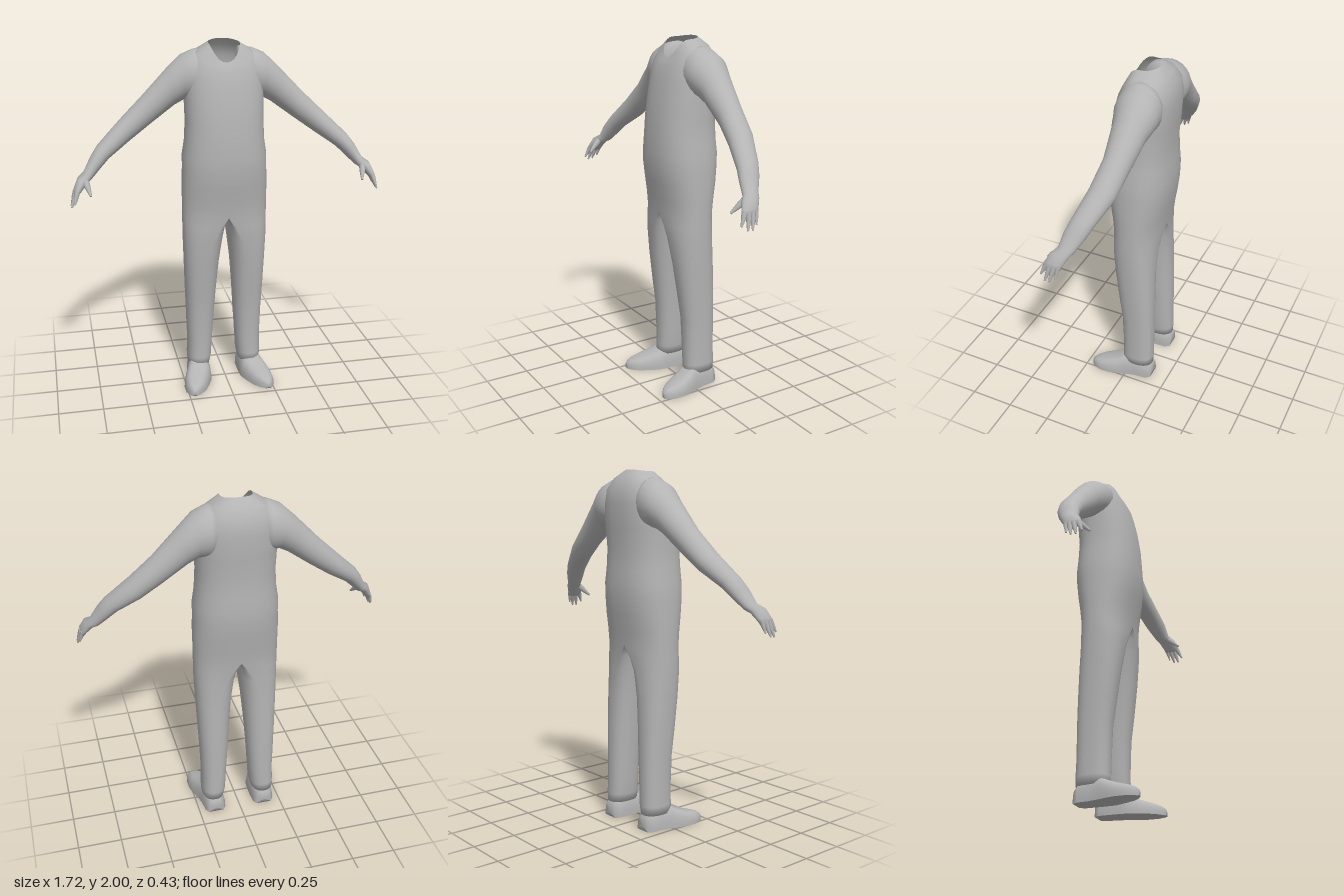
import * as THREE from 'three';
import { mergeGeometries, mergeVertices } from 'three/addons/utils/BufferGeometryUtils.js';

const N = 32;
const V = (x, y, z) => new THREE.Vector3(x, y, z);
const pw = (v, e) => Math.sign(v) * Math.pow(Math.abs(v) < 1e-9 ? 0 : Math.abs(v), e);

// Skin a list of closed rings; optional fan caps at both ends
function loft(rings, cap0 = false, cap1 = false) {
  const n = rings[0].length, pos = [], idx = [];
  rings.forEach(r => r.forEach(p => pos.push(p.x, p.y, p.z)));
  for (let i = 0; i < rings.length - 1; i++) {
    for (let j = 0; j < n; j++) {
      const a = i * n + j, b = i * n + (j + 1) % n, c = a + n, d = b + n;
      idx.push(a, c, b, b, c, d);
    }
  }
  const cap = (i, flip) => {
    const m = V(0, 0, 0);
    rings[i].forEach(p => m.addScaledVector(p, 1 / n));
    const k = pos.length / 3;
    pos.push(m.x, m.y, m.z);
    for (let j = 0; j < n; j++) {
      const a = i * n + j, b = i * n + (j + 1) % n;
      if (flip) idx.push(k, b, a); else idx.push(k, a, b);
    }
  };
  if (cap0) cap(0, false);
  if (cap1) cap(rings.length - 1, true);
  const g = new THREE.BufferGeometry();
  g.setAttribute('position', new THREE.Float32BufferAttribute(pos, 3));
  g.setIndex(idx);
  return g;
}

// Ring from a function of the angle
const ring = (f, n = N) => Array.from({ length: n }, (_, k) => {
  const a = k / n * Math.PI * 2;
  return f(Math.cos(a), Math.sin(a));
});

function mirrored(geo) {
  const g = geo.clone().scale(-1, 1, 1), ix = g.index.array;
  for (let i = 0; i < ix.length; i += 3) [ix[i], ix[i + 1]] = [ix[i + 1], ix[i]];
  return g;
}

export function createModel() {
  const model = new THREE.Group();
  model.name = 'headlessFigure';
  const grey = new THREE.MeshStandardMaterial({ color: 0xb4b4b4, side: THREE.DoubleSide });
  grey.name = 'plainGrey';
  const add = (geo, name, parent = model) => {
    const m = new THREE.Mesh(geo, grey);
    m.name = name;
    parent.add(m);
  };
  const addPair = (geo, name) => {
    add(geo, 'left' + name);
    add(mirrored(geo), 'right' + name);
  };

  // Torso, bottom to open neck: y front, y back, y side, half width, z front, z back
  const torso = loft([
    [1.04, 1.04, 1.04, 0.24, 0.113, -0.162],
    [1.12, 1.12, 1.12, 0.24, 0.122, -0.172],
    [1.21, 1.21, 1.21, 0.24, 0.138, -0.188],
    [1.3, 1.3, 1.3, 0.236, 0.152, -0.2],
    [1.38, 1.38, 1.38, 0.235, 0.153, -0.203],
    [1.46, 1.46, 1.46, 0.222, 0.15, -0.198],
    [1.57, 1.57, 1.57, 0.216, 0.143, -0.193],
    [1.69, 1.69, 1.69, 0.218, 0.125, -0.203],
    [1.78, 1.82, 1.8, 0.217, 0.105, -0.21],
    [1.84, 1.9, 1.88, 0.205, 0.088, -0.198],
    [1.875, 1.96, 1.945, 0.16, 0.07, -0.165],
    [1.895, 2.0, 1.99, 0.085, 0.055, -0.12],
  ].map(([yF, yB, yS, w, zF, zB]) => {
    const zc = (zF + zB) / 2, d = (zF - zB) / 2;
    return ring((c, s) => V(w * pw(c, 0.85),
      yS * c * c + (s > 0 ? yF : yB) * s * s, zc + d * pw(s, 0.85)));
  }));

  // Leg, hem to crotch: y, inner x, middle x, outer x, z front, z back
  const leg = loft([
    [0.09, 0.09, 0.152, 0.216, 0.035, -0.15],
    [0.14, 0.078, 0.15, 0.22, 0.033, -0.152],
    [0.24, 0.072, 0.145, 0.217, 0.034, -0.15],
    [0.42, 0.06, 0.143, 0.222, 0.04, -0.15],
    [0.57, 0.05, 0.138, 0.228, 0.06, -0.148],
    [0.75, 0.035, 0.125, 0.234, 0.082, -0.145],
    [0.9, 0.016, 0.09, 0.239, 0.1, -0.146],
    [0.98, 0.006, 0.045, 0.24, 0.108, -0.154],
    [1.04, 0, 0, 0.24, 0.113, -0.162],
  ].map(([y, xi, xm, xo, zF, zB]) => {
    const zc = (zF + zB) / 2, d = (zF - zB) / 2;
    return ring((c, s) => V(xm + (c > 0 ? xo - xm : xm - xi) * pw(c, 0.85), y, zc + d * pw(s, 0.85)));
  }), true);
  const body = mergeVertices(mergeGeometries([torso, leg, mirrored(leg)]), 1e-4);
  body.computeVertexNormals();
  add(body, 'torsoAndLegs');

  // Shoe, heel to toe: z, middle x, half width, height
  const shoe = loft([
    [-0.153, 0.15, 0.045, 0.08],
    [-0.125, 0.15, 0.062, 0.11],
    [-0.06, 0.152, 0.066, 0.13],
    [0.0, 0.16, 0.073, 0.128],
    [0.045, 0.17, 0.08, 0.105],
    [0.1, 0.188, 0.075, 0.083],
    [0.16, 0.203, 0.06, 0.065],
    [0.195, 0.212, 0.038, 0.052],
    [0.215, 0.218, 0.016, 0.036],
  ].map(([z, xm, w, h]) => ring((c, s) =>
    V(xm + w * pw(c, 0.6), s < 0 ? 0.005 + h * pw(-s, 0.85) - 0.005 : 0, z))), true, true);
  shoe.computeVertexNormals();
  addPair(shoe, 'Shoe');

  // Arm and palm: top x, y, bottom x, y, z back, z front
  const arm = loft([
    [0.09, 1.965, 0.1, 1.7, -0.17, 0.03],
    [0.16, 1.955, 0.16, 1.68, -0.193, 0.055],
    [0.23, 1.925, 0.215, 1.685, -0.19, 0.045],
    [0.31, 1.85, 0.27, 1.655, -0.165, 0.02],
    [0.45, 1.705, 0.4, 1.56, -0.138, 0.006],
    [0.57, 1.59, 0.52, 1.475, -0.12, 0.025],
    [0.7, 1.465, 0.64, 1.393, -0.065, 0.06],
    [0.74, 1.41, 0.69, 1.345, -0.04, 0.078],
    [0.782, 1.335, 0.74, 1.295, -0.002, 0.088],
    [0.815, 1.312, 0.768, 1.278, 0.015, 0.118],
    [0.838, 1.262, 0.798, 1.243, 0.038, 0.135],
    [0.842, 1.237, 0.815, 1.226, 0.045, 0.135],
  ].map(([tx, ty, bx, by, zB, zF]) => ring((c, s) => V(
    (tx + bx) / 2 + (tx - bx) / 2 * c,
    (ty + by) / 2 + (ty - by) / 2 * c,
    (zF + zB) / 2 - (zF - zB) / 2 * s), 24)), true, true);
  arm.computeVertexNormals();
  addPair(arm, 'Arm');

  // Fingers and thumb: base, tip, base radius
  const digits = [
    [V(0.822, 1.25, 0.12), V(0.84, 1.185, 0.15), 0.015],
    [V(0.83, 1.245, 0.1), V(0.855, 1.163, 0.122), 0.015],
    [V(0.83, 1.245, 0.077), V(0.857, 1.165, 0.095), 0.015],
    [V(0.826, 1.25, 0.055), V(0.847, 1.185, 0.066), 0.013],
    [V(0.778, 1.3, 0.08), V(0.753, 1.232, 0.155), 0.02],
  ].map(([a, b, r]) => {
    const dir = b.clone().sub(a), len = dir.length();
    const g = new THREE.CylinderGeometry(r * 0.3, r, len, 8, 3);
    const p = g.attributes.position;
    // Keep the digit full until near its tip
    for (let i = 0; i < p.count; i++) {
      const t = p.getY(i) / len + 0.5, k = t > 0.1 && t < 0.9 ? 1.15 : 1;
      p.setXYZ(i, p.getX(i) * k, p.getY(i), p.getZ(i) * k);
    }
    g.applyQuaternion(new THREE.Quaternion().setFromUnitVectors(V(0, 1, 0), dir.normalize()));
    const m = a.clone().add(b).multiplyScalar(0.5);
    return g.translate(m.x, m.y, m.z);
  });
  addPair(mergeGeometries(digits), 'Fingers');

  return model;
}
